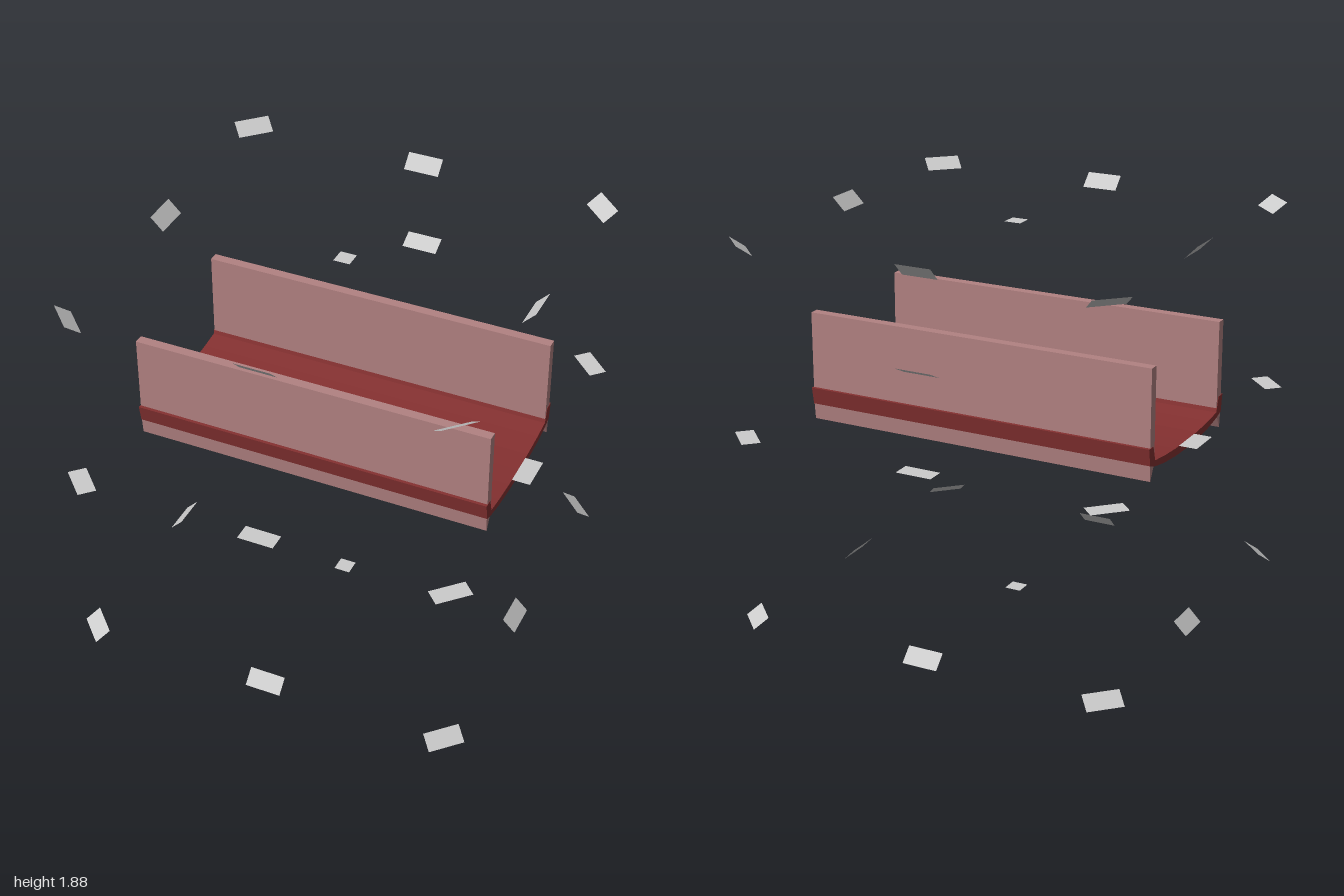
import * as THREE from 'three';

const U = 0.0876;        // panel depth
const D = 10 * U;        // distance from the middle to each panel's inner edge
const MID = 0.938;       // height of the middle of the panel grid

// Extrudes a (z, y) outline along x, centred on x = 0
function extrudeAlongX(points, length, material, name) {
  const shape = new THREE.Shape(points.map(([z, y]) => new THREE.Vector2(-z, y)));
  const geometry = new THREE.ExtrudeGeometry(shape, { depth: length, bevelEnabled: false });
  geometry.translate(0, 0, -length / 2).rotateY(Math.PI / 2);
  const mesh = new THREE.Mesh(geometry, material);
  mesh.name = name;
  return mesh;
}

// Mirrors a half outline that runs from the rim to the middle
const mirrored = (half) => half.concat(half.slice(0, -1).reverse().map(([z, y]) => [-z, y]));

// Flat panel whose short side points away from the middle
function panel(x, y, z, material) {
  const anchor = new THREE.Vector3(x, y, z).multiplyScalar(D);
  const out = anchor.clone().normalize();
  const vertical = x === 0 && z === 0;
  const mesh = new THREE.Mesh(
    vertical ? new THREE.PlaneGeometry(0.08, 0.08) : new THREE.PlaneGeometry(2 * U, U), material);
  if (vertical) {
    mesh.rotation.x = -Math.PI / 2;
  } else {
    const across = new THREE.Vector3(z, 0, -x).normalize();
    const normal = across.clone().cross(out);
    mesh.quaternion.setFromRotationMatrix(new THREE.Matrix4().makeBasis(across, out, normal));
  }
  mesh.position.copy(anchor).addScaledVector(out, U / 2);
  mesh.position.y += MID;
  mesh.name = 'floatingPanel';
  return mesh;
}

export function createModel() {
  const model = new THREE.Group();
  const grey = new THREE.MeshStandardMaterial({ color: 0xcccccc, side: THREE.DoubleSide });
  const red = new THREE.MeshStandardMaterial({ color: 0x853131 });
  const pink = new THREE.MeshStandardMaterial({ color: 0xb28282 });

  // Curved floor with upturned rims
  const under = mirrored([[0.415, 1.03], [0.4, 0.947], [0.35, 0.93], [0.25, 0.912], [0.12, 0.9], [0, 0.897]]);
  const top = mirrored([[0.37, 1.03], [0.347, 0.958], [0.25, 0.946], [0.12, 0.937], [0, 0.935]]);
  model.add(extrudeAlongX([...under, ...top.reverse()], 1.752, red, 'troughFloor'));

  // Side walls, tapering to a keel below the floor
  for (const s of [1, -1]) {
    const outline = [[0.4, 1.4], [0.353, 1.4], [0.353, 0.945], [0.392, 0.87], [0.399, 0.95]];
    model.add(extrudeAlongX(outline.map(([z, y]) => [s * z, y]), 1.748, pink,
      s > 0 ? 'frontWall' : 'backWall'));
  }

  // Panels on a 3 x 3 x 3 grid around the trough, plus one extra at the back
  const panels = new THREE.Group();
  panels.name = 'floatingPanels';
  for (const x of [-1, 0, 1])
    for (const y of [-1, 0, 1])
      for (const z of [-1, 0, 1])
        if (x || y || z) panels.add(panel(x, y, z, grey));
  panels.add(panel(0, 0.5, -1, grey));
  model.add(panels);

  return model;
}
